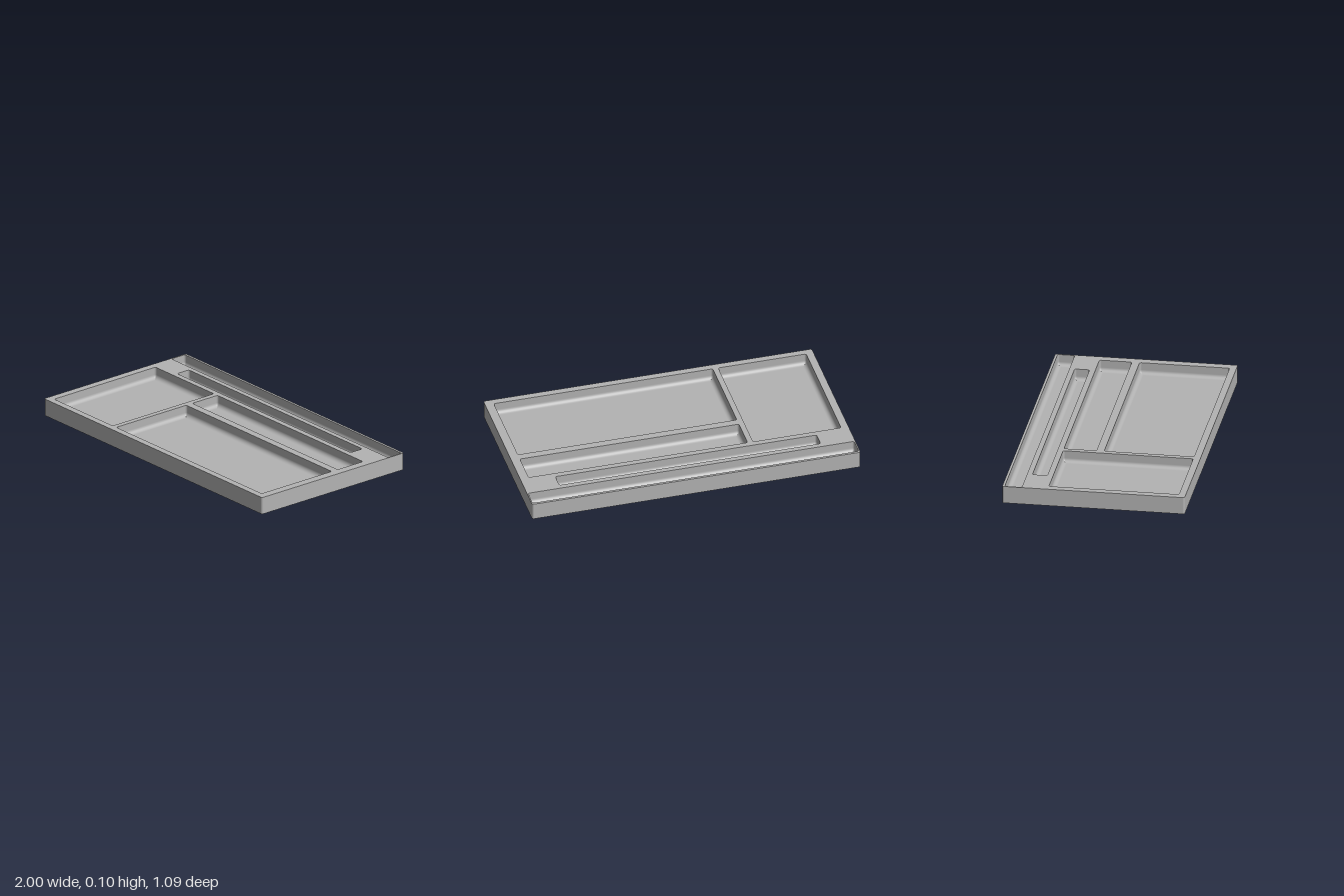
import * as THREE from 'three';

const HEIGHT = 0.105;      // tray height
const FLOOR = 0.035;       // level of the compartment floors
const FILLET = 0.025;      // rounding between wall and floor
const CORNER = 0.012;      // plan rounding of all corners
const ARC = 5;             // segments in each rounding

const OUTLINE = [-1, 1, -0.5425, 0.5425];
// x0, x1, z0, z1
const COMPARTMENTS = {
  sideCompartment: [-0.955, -0.419, -0.272, 0.502],
  middleCompartment: [-0.386, 0.948, -0.272, -0.079],
  mainCompartment: [-0.386, 0.948, -0.033, 0.502],
  penGroove: [-0.797, 0.795, -0.395, -0.306],
  rearSlot: [-0.993, 0.993, -0.528, -0.426],
};

// rounded rectangle in plan, with the outward direction at each point
function roundedRect([x0, x1, z0, z1], inset = 0) {
  const r = Math.max(CORNER - inset, 0.001);
  const k = inset + r;
  const centres = [[x1 - k, z1 - k], [x0 + k, z1 - k], [x0 + k, z0 + k], [x1 - k, z0 + k]];
  const points = [];
  centres.forEach(([cx, cz], q) => {
    for (let i = 0; i <= ARC; i++) {
      const a = (q + i / ARC) * Math.PI / 2;
      const nx = Math.cos(a), nz = Math.sin(a);
      points.push({ x: cx + r * nx, z: cz + r * nz, nx, nz });
    }
  });
  return points;
}

// wall lofted downwards through levels of { inset, y, tilt }
function wallGeometry(rect, levels, facing) {
  const pos = [], nor = [], idx = [];
  const n = 4 * (ARC + 1);
  levels.forEach(({ inset, y, tilt }) => {
    for (const p of roundedRect(rect, inset)) {
      pos.push(p.x, y, p.z);
      const c = Math.cos(tilt) * facing;
      nor.push(p.nx * c, Math.sin(tilt), p.nz * c);
    }
  });
  for (let l = 0; l < levels.length - 1; l++) {
    for (let j = 0; j < n; j++) {
      const a = l * n + j, b = l * n + (j + 1) % n, c = a + n, d = b + n;
      if (facing > 0) idx.push(a, b, c, b, d, c);
      else idx.push(a, c, b, b, c, d);
    }
  }
  const g = new THREE.BufferGeometry();
  g.setAttribute('position', new THREE.Float32BufferAttribute(pos, 3));
  g.setAttribute('normal', new THREE.Float32BufferAttribute(nor, 3));
  g.setIndex(idx);
  return g;
}

// flat horizontal face facing up, with optional openings
function flatGeometry(rect, inset, y, holes = []) {
  const plan = (r, i) => roundedRect(r, i).map(p => new THREE.Vector2(p.x, -p.z));
  const shape = new THREE.Shape(plan(rect, inset));
  holes.forEach(h => shape.holes.push(new THREE.Path(plan(h, 0))));
  return new THREE.ShapeGeometry(shape).rotateX(-Math.PI / 2).translate(0, y, 0);
}

export function createModel() {
  const grey = new THREE.MeshStandardMaterial({ color: 0xb3b3b3 });
  grey.name = 'grey';
  const model = new THREE.Group();
  model.name = 'organizerTray';
  const add = (parent, name, geometry) => {
    const mesh = new THREE.Mesh(geometry, grey);
    mesh.name = name;
    parent.add(mesh);
  };

  // outer shell
  add(model, 'outerWall', wallGeometry(OUTLINE, [
    { inset: 0, y: HEIGHT, tilt: 0 },
    { inset: 0, y: 0, tilt: 0 },
  ], 1));
  add(model, 'topFace', flatGeometry(OUTLINE, 0, HEIGHT, Object.values(COMPARTMENTS)));
  add(model, 'underside', flatGeometry(OUTLINE, 0, 0).rotateX(Math.PI));

  // compartments: straight wall, filleted foot, flat floor
  const levels = [{ inset: 0, y: HEIGHT, tilt: 0 }];
  for (let i = 0; i <= ARC; i++) {
    const tilt = i / ARC * Math.PI / 2;
    levels.push({
      inset: FILLET * (1 - Math.cos(tilt)),
      y: FLOOR + FILLET * (1 - Math.sin(tilt)),
      tilt,
    });
  }
  for (const [name, rect] of Object.entries(COMPARTMENTS)) {
    const group = new THREE.Group();
    group.name = name;
    add(group, name + 'Wall', wallGeometry(rect, levels, -1));
    add(group, name + 'Floor', flatGeometry(rect, FILLET, FLOOR));
    model.add(group);
  }
  return model;
}
